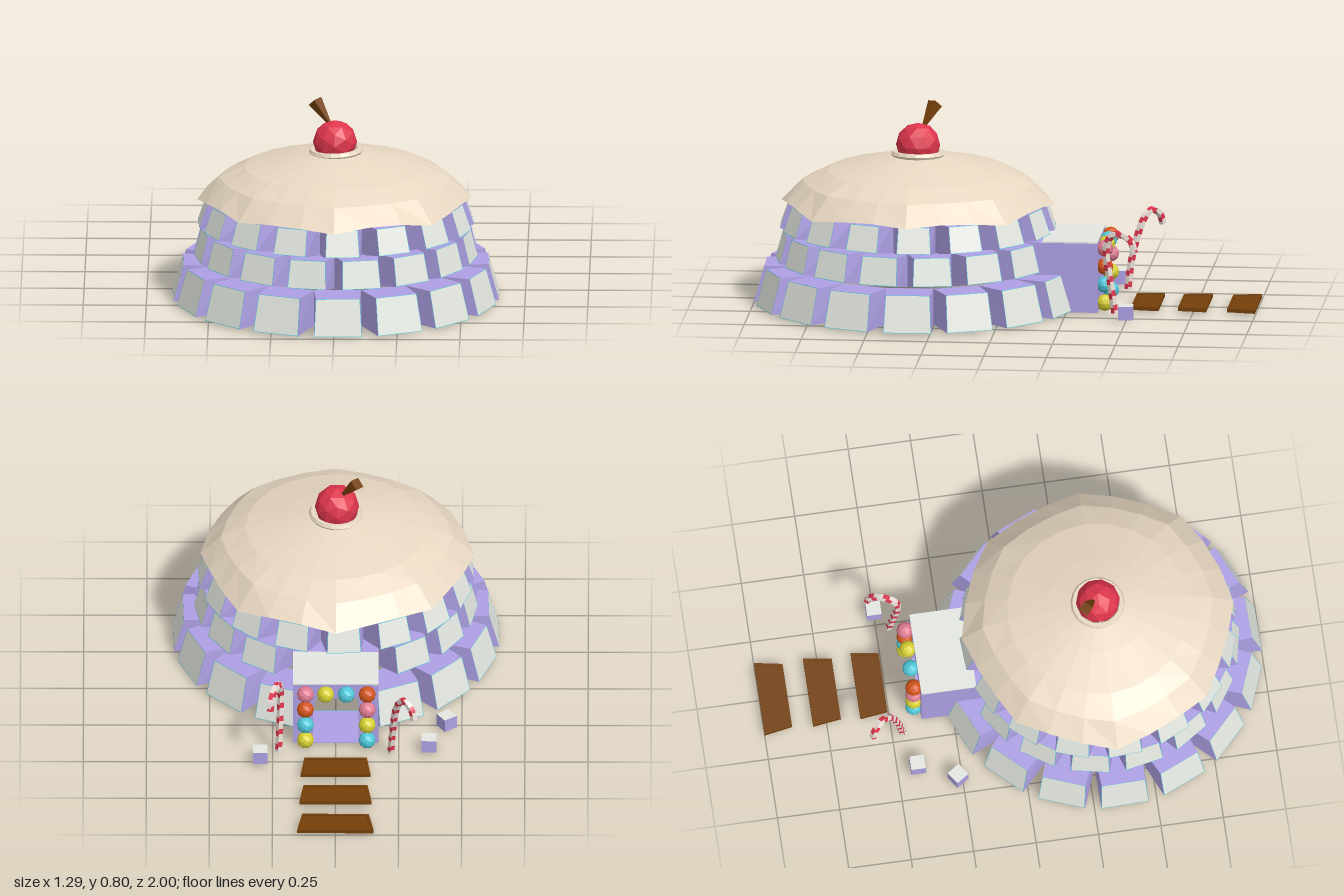
import * as THREE from 'three';

const mat = (name, color) => {
  const m = new THREE.MeshStandardMaterial({ color, flatShading: true, side: THREE.DoubleSide });
  m.name = name;
  return m;
};

export function createModel() {
  const M = {
    wafer: mat('pale grey', 0xe4e8e1), lilac: mat('lilac', 0xaea0e4), cream: mat('cream', 0xe8d8c2),
    brown: mat('chocolate', 0x744009), cherry: mat('cherry red', 0xde354c), orange: mat('orange', 0xd2541a),
    cyan: mat('cyan', 0x4fc8d8), yellow: mat('yellow', 0xd6d032), pink: mat('pink', 0xde7c92),
    sugar: mat('sugar white', 0xf0e6de),
  };
  const root = new THREE.Group();
  const add = (name, geo, material, x = 0, y = 0, z = 0, parent = root) => {
    const m = new THREE.Mesh(geo, material);
    m.name = name;
    m.position.set(x, y, z);
    parent.add(m);
    return m;
  };
  const CZ = 0.355; // dome centre

  // Wall block: pale outer face with a hairline cyan edge, lilac sides, hollow towards the room
  const wallBlock = (r) => {
    const wi = r.inner * Math.tan(Math.PI / 16);
    const [b, t] = [r.width / 2, r.width * 0.46];
    const e = 0.002, ez = (e * (r.r0 - r.r1)) / (r.y1 - r.y0);
    const c = [
      [-b, r.y0, r.r0], [b, r.y0, r.r0], [t, r.y1, r.r1], [-t, r.y1, r.r1],
      [-wi, r.yi, r.inner], [wi, r.yi, r.inner], [wi, r.y1, r.inner], [-wi, r.y1, r.inner],
      [e - b, r.y0 + e, r.r0 - ez], [b - e, r.y0 + e, r.r0 - ez], [t - e, r.y1 - e, r.r1 + ez], [e - t, r.y1 - e, r.r1 + ez],
    ];
    const face = [[8, 9, 10, 11]];
    const edge = [[0, 1, 9, 8], [1, 2, 10, 9], [2, 3, 11, 10], [3, 0, 8, 11]];
    const sides = [[1, 5, 6, 2], [4, 0, 3, 7], [3, 2, 6, 7]];
    if (r.floor) sides.push([4, 5, 1, 0]);
    const pos = [], g = new THREE.BufferGeometry();
    [face, sides, edge].forEach((quads, k) => {
      g.addGroup(pos.length / 3, quads.length * 6, k);
      for (const [p, q, s, u] of quads) for (const v of [p, q, s, p, s, u]) pos.push(...c[v]);
    });
    g.setAttribute('position', new THREE.Float32BufferAttribute(pos, 3));
    g.computeVertexNormals();
    return g;
  };
  const rows = [
    { name: 'lowerWall', r0: 0.645, r1: 0.605, y0: 0.01, yi: 0.01, y1: 0.155, inner: 0.47, width: 0.19, turn: 1.5, skip: 12 },
    { name: 'middleWall', r0: 0.558, r1: 0.53, y0: 0.18, yi: 0.155, y1: 0.29, inner: 0.44, width: 0.155, turn: 11.25, skip: 15, floor: true },
    { name: 'upperWall', r0: 0.545, r1: 0.51, y0: 0.308, yi: 0.285, y1: 0.41, inner: 0.42, width: 0.135, turn: 3.5, skip: 0, floor: true },
  ];
  for (const r of rows) {
    const wall = new THREE.Group();
    wall.name = r.name;
    wall.position.z = CZ;
    root.add(wall);
    const geo = wallBlock(r);
    for (let i = 0; i < 16; i++) {
      const deg = i * 22.5 + r.turn;
      if (Math.abs(deg - 180) < r.skip) continue; // doorway
      add('wallBlock', geo, [M.wafer, M.lilac, M.cyan], 0, 0, 0, wall).rotation.y = THREE.MathUtils.degToRad(deg);
    }
  }
  add('ceiling', new THREE.CircleGeometry(0.47, 16), M.lilac, 0, 0.408, CZ).rotation.x = Math.PI / 2;

  // Icing roof: faceted cap with a wavy dripping rim
  const profile = [[0.44, 0.415], [0.535, 0.413], [0.455, 0.49], [0.36, 0.535], [0.2, 0.575], [0.1, 0.595], [0, 0.6]];
  const icing = new THREE.LatheGeometry(profile.map((p) => new THREE.Vector2(...p)), 24);
  const P = icing.attributes.position;
  for (let i = 0; i < P.count; i++) {
    const x = P.getX(i), z = P.getZ(i), a = Math.atan2(x, z), rad = Math.hypot(x, z);
    const edge = THREE.MathUtils.smoothstep(rad, 0.3, 0.53);
    const k = 1 + edge * (0.025 * Math.cos(8 * a) + 0.012 * Math.sin(3 * a) - 0.008);
    const drip = rad > 0.5 ? -0.01 * Math.cos(8 * a) + 0.005 * Math.sin(5 * a) : 0;
    P.setXYZ(i, x * k, P.getY(i) + drip, z * k);
  }
  icing.computeVertexNormals();
  add('icingRoof', icing, M.cream, 0, 0, CZ);

  // Cherry with its ring and stem
  const ring = add('icingRing', new THREE.TorusGeometry(0.094, 0.014, 6, 18), M.cream, 0, 0.599, CZ);
  ring.rotation.set(Math.PI / 2, 0.05, 0);
  add('cherry', new THREE.IcosahedronGeometry(0.088, 1), M.cherry, -0.004, 0.636, CZ);
  const stemFrom = new THREE.Vector3(-0.025, 0.705, 0.335), stemTo = new THREE.Vector3(-0.084, 0.787, 0.295);
  const stemDir = stemTo.clone().sub(stemFrom);
  const mid = stemFrom.clone().add(stemTo).multiplyScalar(0.5);
  const stem = add('cherryStem', new THREE.CylinderGeometry(0.03, 0.007, stemDir.length(), 4), M.brown, mid.x, mid.y, mid.z);
  stem.quaternion.setFromUnitVectors(new THREE.Vector3(0, 1, 0), stemDir.normalize());

  // Entrance tunnel
  const outline = (pts) => new THREE.Shape(pts.map((p) => new THREE.Vector2(...p)));
  const arch = outline([[-0.17, 0.005], [-0.09, 0.005], [-0.09, 0.22], [0.09, 0.22], [0.09, 0.005], [0.17, 0.005], [0.17, 0.285], [-0.17, 0.285]]);
  add('entranceTunnel', new THREE.ExtrudeGeometry(arch, { depth: 0.33, bevelEnabled: false }), M.lilac, 0, 0, -0.375);
  add('entranceRoof', new THREE.BoxGeometry(0.34, 0.006, 0.22), M.wafer, 0, 0.288, -0.265);

  // Doorway floor: lilac above, a cyan corner beneath, cyan sill at the inner end
  add('doorwayFloor', new THREE.BoxGeometry(0.18, 0.003, 0.215), M.lilac, 0, 0.006, -0.268);
  const corner = new THREE.ShapeGeometry(outline([[0.09, -0.375], [0.09, -0.16], [-0.09, -0.16]]));
  add('floorCorner', corner, M.cyan, 0, 0.003, 0).rotation.x = Math.PI / 2;
  add('doorSill', new THREE.BoxGeometry(0.34, 0.006, 0.004), M.cyan, 0, 0.004, -0.16);

  // Candy balls round the doorway
  const ball = new THREE.IcosahedronGeometry(0.034, 1);
  const xs = [0.12, 0.04, -0.042, -0.125], ys = [0.258, 0.184, 0.11, 0.037];
  const candy = (color, x, y) => add('candyBall', ball, M[color], x, y, -0.4);
  ['pink', 'yellow', 'cyan', 'orange'].forEach((c, i) => candy(c, xs[i], ys[0]));
  ['orange', 'cyan', 'yellow'].forEach((c, i) => candy(c, xs[0], ys[i + 1]));
  ['pink', 'yellow', 'cyan'].forEach((c, i) => candy(c, xs[3], ys[i + 1]));

  // Candy canes with spiral stripes
  const cane = (name, pts) => {
    const path = new THREE.CatmullRomCurve3(pts.map((p) => new THREE.Vector3(...p)));
    const n = 40, sides = 5;
    const g = new THREE.TubeGeometry(path, n, 0.015, sides);
    for (let j = 0; j < n; j++) {
      for (let i = 0; i < sides; i++) g.addGroup((j * sides + i) * 6, 6, (j + i) % 5 < 2 ? 1 : 0);
    }
    add(name, g, [M.sugar, M.cherry]);
  };
  cane('leftCandyCane', [[0.225, 0.018, -0.45], [0.22, 0.14, -0.432], [0.217, 0.28, -0.415], [0.225, 0.33, -0.435], [0.24, 0.34, -0.475], [0.255, 0.315, -0.515], [0.26, 0.27, -0.53]]);
  cane('rightCandyCane', [[-0.22, 0.02, -0.46], [-0.228, 0.14, -0.475], [-0.24, 0.26, -0.505], [-0.257, 0.315, -0.53], [-0.278, 0.332, -0.555], [-0.302, 0.31, -0.58], [-0.312, 0.27, -0.59]]);

  // Sugar cubes: pale top, lilac elsewhere
  const cube = new THREE.BoxGeometry(0.058, 0.055, 0.058);
  const cubeMats = [M.lilac, M.lilac, M.wafer, M.lilac, M.lilac, M.lilac];
  for (const [x, z, turn] of [[-0.37, -0.42, 0], [-0.44, -0.268, 0.6], [0.298, -0.5, 0]]) {
    add('sugarCube', cube, cubeMats, x, 0.038, z).rotation.y = turn;
  }

  // Chocolate path planks with a low raised rim
  for (const [z0, z1, wFar, wNear] of [[-1, -0.888, 0.152, 0.132], [-0.805, -0.692, 0.143, 0.127], [-0.615, -0.505, 0.138, 0.124]]) {
    const ringPts = (s) => [[-wNear + s, -z1 + s], [wNear - s, -z1 + s], [wFar - s, -z0 - s], [-wFar + s, -z0 - s]];
    const flat = (shape, depth) => new THREE.ExtrudeGeometry(shape, { depth, bevelEnabled: false }).rotateX(-Math.PI / 2);
    add('plank', flat(outline(ringPts(0)), 0.01), M.brown, 0, 0.01, 0);
    const rim = outline(ringPts(0));
    rim.holes.push(outline(ringPts(0.009)));
    add('plankRim', flat(rim, 0.005), M.brown, 0, 0.02, 0);
  }
  return root;
}
